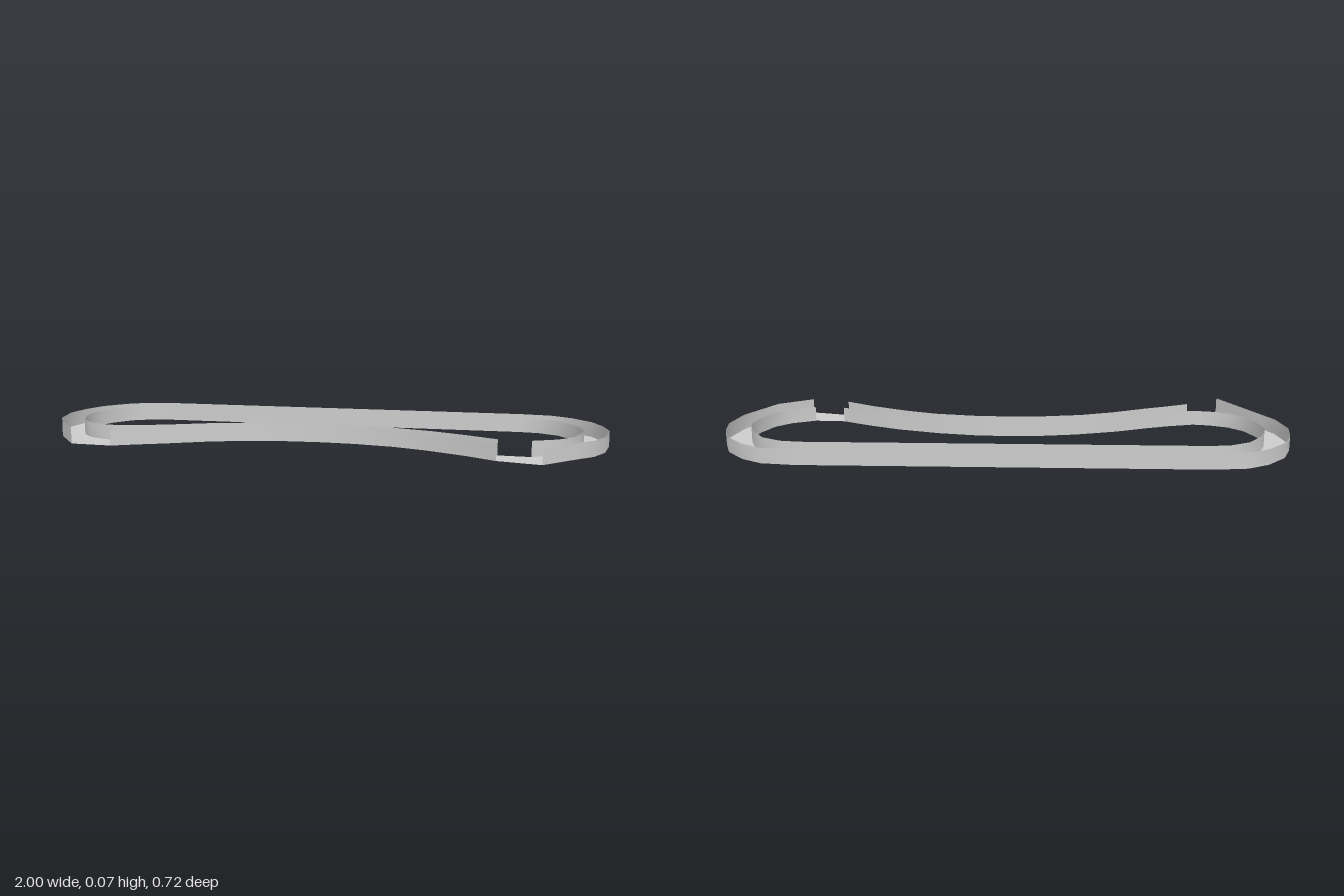
import * as THREE from 'three';

const H = 0.054; // wall height

// raised points of the floor edge: x, z, lift
const RAISED = [[-0.81, 0.355, 0.012], [0.89, 0.23, 0.005]];
const lift = (x, z) => {
  const r = RAISED.find(([rx, rz]) => Math.hypot(x - rx, z - rz) < 0.01);
  return r ? r[2] : 0;
};
const mirror = (pts) => pts.map(([x, z]) => [-x, z]).reverse();

// outer rim: symmetric back and middle of the front, different corners
const outerBack = [[0.94, 0.16], [0.98, 0.08], [1, -0.04], [0.985, -0.13], [0.95, -0.22],
  [0.88, -0.30], [0.805, -0.345], [0.69, -0.36]];
const outerFront = [[0, 0.09], [0.13, 0.097], [0.27, 0.122], [0.39, 0.165], [0.52, 0.228]];
const outerSide = [[0.775, 0.33], [0.89, 0.23], ...outerBack, ...mirror(outerBack), [-0.81, 0.355]];
const outerMiddle = [[-0.69, 0.305], [-0.6, 0.262], ...mirror(outerFront), ...outerFront.slice(1), [0.63, 0.295]];

// inner rim
const innerBack = [[0.825, 0.163], [0.875, 0.11], [0.905, 0.03], [0.915, -0.04], [0.905, -0.09],
  [0.88, -0.15], [0.83, -0.22], [0.76, -0.26], [0.69, -0.27]];
const innerFront = [[0, 0.015], [0.12, 0.022], [0.25, 0.045], [0.4, 0.09], [0.52, 0.142]];
const innerPath = [[0.74, 0.205], ...innerBack, ...mirror(innerBack), [-0.76, 0.19], [-0.70, 0.2],
  [-0.6, 0.172], ...mirror(innerFront), ...innerFront.slice(1), [0.63, 0.2]];

const material = new THREE.MeshStandardMaterial({ color: 0xcccccc, side: THREE.DoubleSide });

function addMesh(group, name, geometry) {
  geometry.computeVertexNormals();
  const mesh = new THREE.Mesh(geometry, material);
  mesh.name = name;
  group.add(mesh);
}

// upright sheet along an open path
function wall(path) {
  const pos = [], index = [];
  path.forEach(([x, z], i) => {
    const y = lift(x, z);
    pos.push(x, y, z, x, y + H, z);
    const a = 2 * i;
    if (i < path.length - 1) index.push(a, a + 2, a + 1, a + 1, a + 2, a + 3);
  });
  const g = new THREE.BufferGeometry();
  g.setAttribute('position', new THREE.Float32BufferAttribute(pos, 3));
  g.setIndex(index);
  return g;
}

// flat band between the two rims, bent up at the raised points
function band() {
  const toVec = (pts) => pts.map(([x, z]) => new THREE.Vector2(x, -z));
  const shape = new THREE.Shape(toVec([...outerSide, ...outerMiddle]));
  shape.holes.push(new THREE.Path(toVec(innerPath)));
  const g = new THREE.ShapeGeometry(shape);
  g.rotateX(-Math.PI / 2);
  const p = g.attributes.position;
  for (let i = 0; i < p.count; i++) p.setY(i, lift(p.getX(i), p.getZ(i)));
  return g;
}

export function createModel() {
  const group = new THREE.Group();
  group.name = 'curvedChannelFrame';
  addMesh(group, 'floorBand', band());
  addMesh(group, 'outerWall', wall(outerSide));
  addMesh(group, 'outerFrontWall', wall(outerMiddle));
  addMesh(group, 'innerWall', wall(innerPath));
  return group;
}
